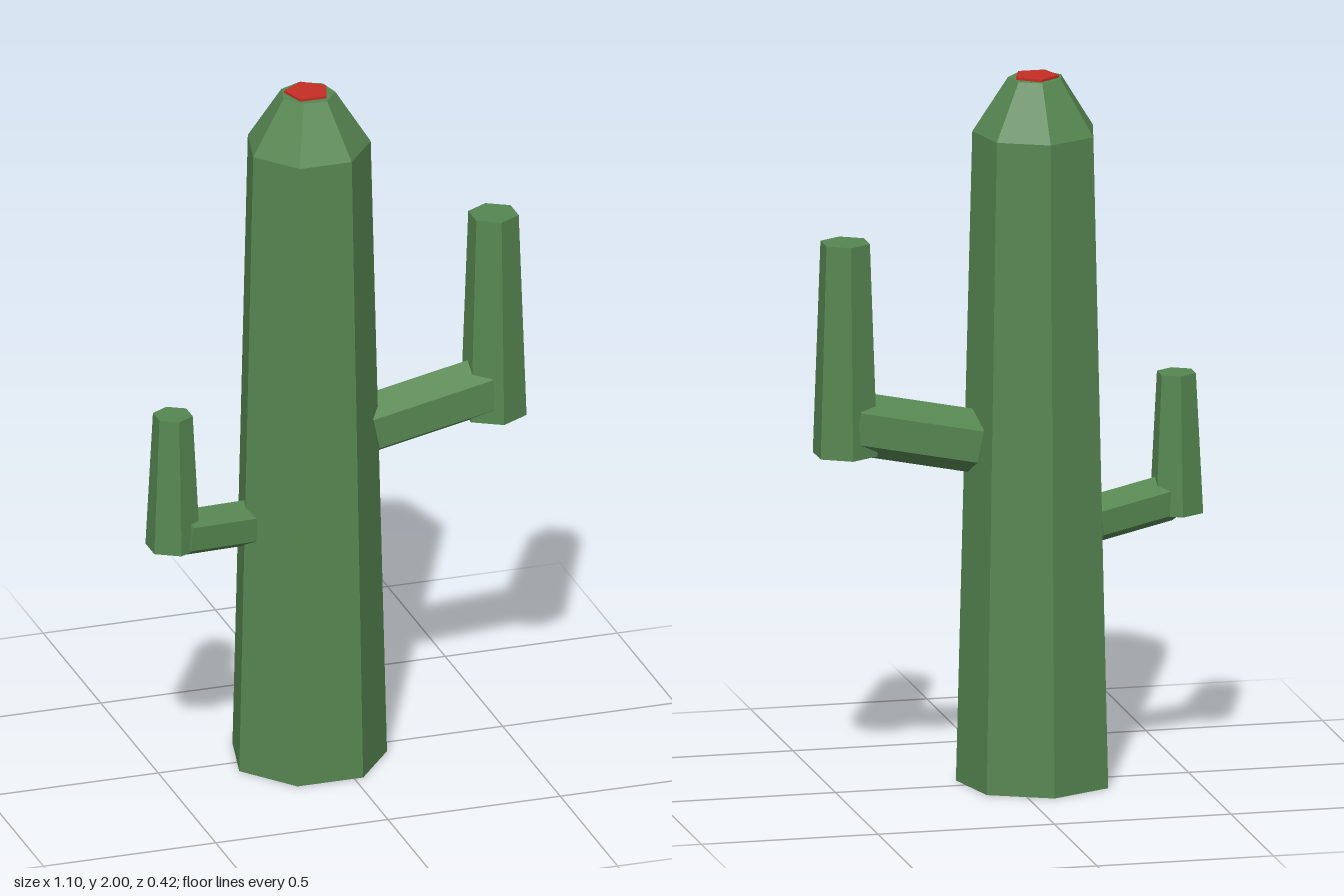
import * as THREE from 'three';

export function createModel() {
  const green = new THREE.MeshStandardMaterial({ name: 'cactusGreen', color: 0x568651, flatShading: true });
  const red = new THREE.MeshStandardMaterial({ name: 'flowerRed', color: 0xc42e24, flatShading: true });
  const cactus = new THREE.Group();
  cactus.name = 'cactus';

  // Upright tapered prism standing on (x, y, z)
  function prism(name, material, sides, rBottom, rTop, height, x, y, z, turn = 0, parent = cactus) {
    const geometry = new THREE.CylinderGeometry(rTop, rBottom, height, sides);
    geometry.rotateY(turn);
    const mesh = new THREE.Mesh(geometry, material);
    mesh.name = name;
    mesh.position.set(x, y + height / 2, z);
    parent.add(mesh);
  }

  // Hexagonal bar between two points, with one ridge upward
  function bar(name, radius, from, to, parent) {
    const a = new THREE.Vector3(...from);
    const b = new THREE.Vector3(...to);
    const geometry = new THREE.CylinderGeometry(radius, radius, a.distanceTo(b), 6);
    geometry.rotateX(Math.PI / 2);
    const mesh = new THREE.Mesh(geometry, green);
    mesh.name = name;
    mesh.position.copy(a).add(b).multiplyScalar(0.5);
    mesh.lookAt(b);
    parent.add(mesh);
  }

  // Seven-sided trunk, its narrowing tip and the flower
  prism('trunk', green, 7, 0.22, 0.175, 1.84, -0.07, 0, 0.01, Math.PI);
  prism('trunkTip', green, 7, 0.175, 0.077, 0.153, -0.07, 1.84, 0.01, Math.PI);
  prism('flower', red, 5, 0.064, 0.064, 0.02, -0.07, 1.98, 0.01, Math.PI);

  // Larger arm
  const leftArm = new THREE.Group();
  leftArm.name = 'leftArm';
  bar('leftBranch', 0.089, [0.105, 0.972, 0.01], [0.452, 1.043, 0.01], leftArm);
  prism('leftUpright', green, 6, 0.093, 0.071, 0.6, 0.47, 0.955, 0.01, 0, leftArm);

  // Smaller arm, swung slightly forward
  const rightArm = new THREE.Group();
  rightArm.name = 'rightArm';
  bar('rightBranch', 0.068, [-0.23, 0.728, 0.02], [-0.47, 0.76, 0.097], rightArm);
  prism('rightUpright', green, 6, 0.077, 0.056, 0.395, -0.487, 0.72, 0.088, 0, rightArm);

  cactus.add(leftArm, rightArm);
  return cactus;
}
